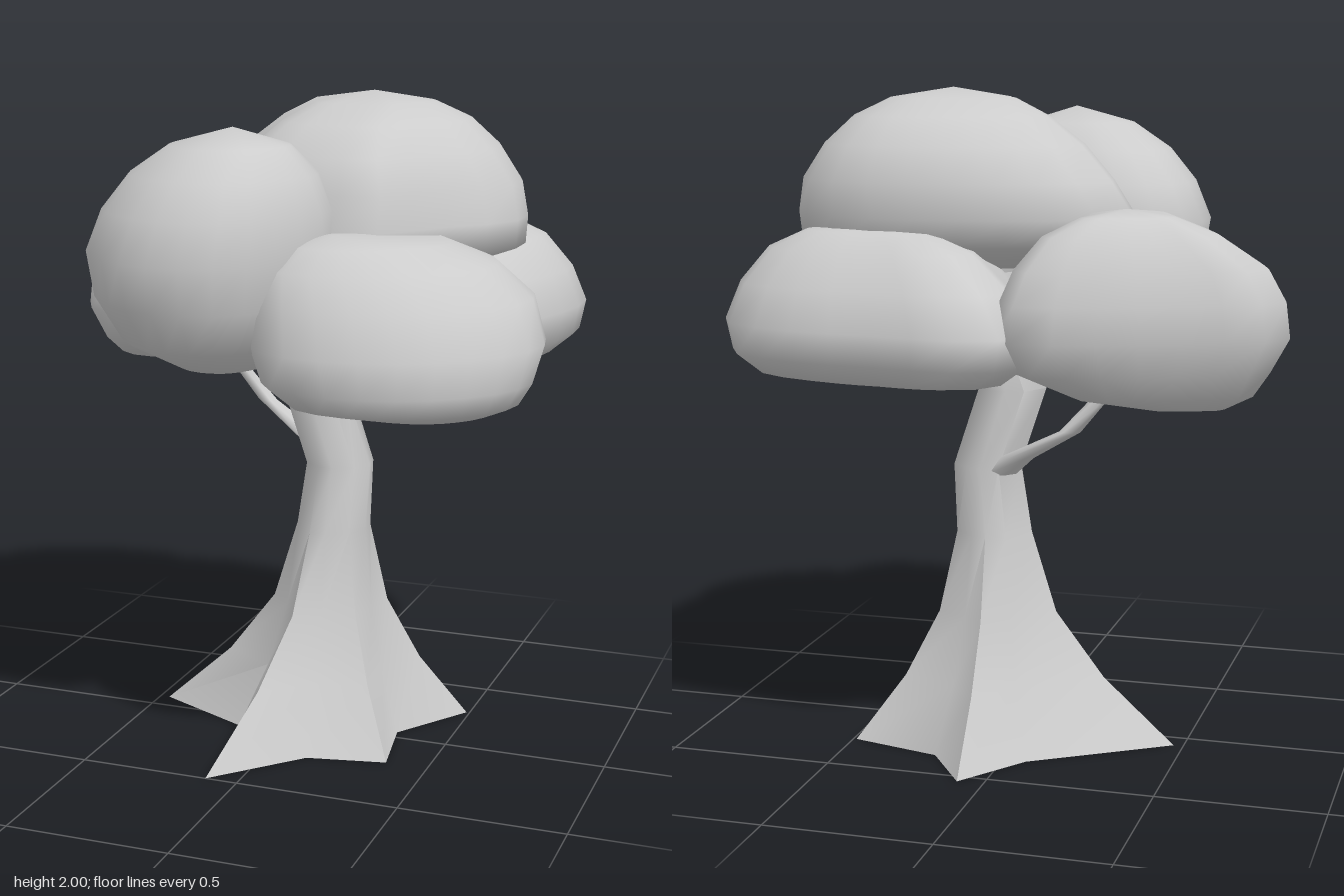
import * as THREE from 'three';
import { mergeVertices, toCreasedNormals } from 'three/addons/utils/BufferGeometryUtils.js';

const grey = new THREE.MeshStandardMaterial({ color: 0xcccccc });
grey.name = 'paleGrey';

// Skin over closed rings of [x, y, z], listed from bottom to top
function loft(rings) {
  const n = rings[0].length, index = [];
  for (let i = 0; i < rings.length - 1; i++) {
    for (let j = 0; j < n; j++) {
      const a = i * n + j, b = i * n + (j + 1) % n;
      index.push(a, a + n, b, b, a + n, b + n);
    }
  }
  const geo = new THREE.BufferGeometry();
  geo.setAttribute('position', new THREE.Float32BufferAttribute(rings.flat(2), 3));
  geo.setIndex(index);
  const merged = mergeVertices(geo, 1e-4);
  // Drop the collapsed triangles at the poles
  const ix = merged.index.array, keep = [];
  for (let i = 0; i < ix.length; i += 3) {
    const [a, b, c] = [ix[i], ix[i + 1], ix[i + 2]];
    if (a !== b && b !== c && c !== a) keep.push(a, b, c);
  }
  merged.setIndex(keep);
  merged.computeVertexNormals();
  return merged;
}

function mesh(name, geo) {
  const m = new THREE.Mesh(geo, grey);
  m.name = name;
  return m;
}

// Foliage clump: a plan outline scaled and shifted through levels [y, scale, dx, dz, z scale]
function clump(name, [cx, cz], outline, levels) {
  const angle = ([x, z]) => Math.atan2(z - cz, x - cx);
  const pts = [...outline].sort((p, q) => angle(p) - angle(q))
    .map(([x, z]) => new THREE.Vector3(x - cx, 0, z - cz));
  const plan = new THREE.CatmullRomCurve3(pts, true).getSpacedPoints(24).slice(0, 24);
  const rings = levels.map(([y, s, dx = 0, dz = 0, sz = s]) =>
    plan.map(p => [cx + dx + p.x * s, y, cz + dz + p.z * sz]));
  return mesh(name, loft(rings));
}

export function createModel() {
  const tree = new THREE.Group();
  tree.name = 'tree';

  // Trunk: a five-rooted star that shrinks into a bent round stem
  const star = [
    [0.37, 0.2], [0.13, 0.25], [-0.1, 0.5], [-0.16, 0.08], [-0.47, -0.07],
    [-0.07, -0.33], [0.08, -0.54], [0.21, -0.35], [0.49, -0.28], [0.33, -0.04],
  ];
  const cx = 0.1, cz = -0.08;
  // Levels: [y, root flare, shift in x, stem radius]
  const stem = [
    [0, 1, 0, 0.11], [0.2, 0.52, 0, 0.11], [0.4, 0.18, 0, 0.115], [0.65, 0.02, 0, 0.11],
    [0.86, 0, 0.02, 0.105], [1.1, 0, -0.06, 0.105], [1.22, 0, -0.02, 0.1], [1.45, 0, 0.03, 0.09],
  ];
  const trunkRings = stem.map(([y, f, dx, r]) => star.map(([x, z]) => {
    const a = Math.atan2(z - cz, x - cx);
    return [
      cx + dx + THREE.MathUtils.lerp(r * Math.cos(a), x - cx, f), y,
      cz + THREE.MathUtils.lerp(r * Math.sin(a), z - cz, f),
    ];
  }));
  trunkRings.unshift(star.map(() => [0.08, 0, -0.06]));
  tree.add(mesh('trunk', toCreasedNormals(loft(trunkRings), 0.75)));

  // Side branch: small rings [x, y, z, radius] climbing to the right
  const branchPath = [
    [0.07, 0.84, -0.13, 0.055], [0.0, 0.9, -0.17, 0.05], [-0.18, 1.0, -0.235, 0.032],
    [-0.25, 1.08, -0.235, 0.027], [-0.33, 1.18, -0.225, 0.022], [-0.33, 1.18, -0.225, 0],
  ];
  tree.add(mesh('branch', loft(branchPath.map(([x, y, z, r]) =>
    Array.from({ length: 6 }, (_, i) => {
      const a = i * Math.PI / 3;
      return [x + r * Math.cos(a), y, z + 0.75 * r * Math.sin(a)];
    })))));

  // Foliage
  tree.add(clump('topFoliage', [0.16, -0.1],
    [[-0.39, -0.31], [-0.25, -0.44], [0.03, -0.53], [0.35, -0.53], [0.54, -0.45], [0.67, -0.22],
      [0.67, -0.02], [0.49, 0.2], [0.4, 0.36], [0.24, 0.38], [-0.02, 0.33], [-0.17, 0.26], [-0.27, 0.02]],
    [[1.46, 0], [1.47, 0.3, 0, 0.02], [1.51, 0.7, 0.01, 0.03], [1.56, 0.97, 0.01, 0.02], [1.64, 0.99],
      [1.74, 0.91, 0.02, -0.01, 0.97], [1.84, 0.76, 0.03, -0.01, 0.88], [1.92, 0.57, 0.04, -0.02, 0.67],
      [1.97, 0.37, 0.04, -0.03], [2.0, 0, 0.04, -0.05]]));

  tree.add(clump('frontRightFoliage', [-0.1, 0.42],
    [[-0.47, 0.27], [-0.45, 0.5], [-0.35, 0.66], [-0.19, 0.77], [0.03, 0.77], [0.14, 0.68],
      [0.25, 0.46], [0.25, 0.34], [0.16, 0.16], [-0.1, 0.08], [-0.28, 0.08], [-0.42, 0.17]],
    [[1.235, 0, 0.04], [1.25, 0.35, 0.03], [1.33, 0.74, 0.01, 0.01], [1.45, 0.94],
      [1.58, 1], [1.7, 0.92, 0.02], [1.8, 0.75, 0.04], [1.88, 0.48, 0.06], [1.93, 0, 0.07]]));

  tree.add(clump('frontLeftFoliage', [0.46, 0.34],
    [[0.66, -0.03], [0.78, 0.1], [0.85, 0.28], [0.83, 0.42], [0.75, 0.55], [0.6, 0.68], [0.4, 0.74],
      [0.25, 0.73], [0.12, 0.66], [0.06, 0.48], [0.06, 0.28], [0.15, 0.1], [0.4, -0.04]],
    [[1.15, 0, 0.1], [1.155, 0.45, 0.08, 0.04], [1.19, 0.78, 0.03, 0.06, 0.73], [1.25, 0.92, 0.01, 0.05, 0.86],
      [1.35, 1, 0, 0.01, 0.97], [1.47, 0.96, -0.03, -0.03], [1.56, 0.82, -0.08, -0.03],
      [1.62, 0.55, -0.1, 0.01], [1.65, 0, -0.17, 0.14]]));

  tree.add(clump('backRightFoliage', [-0.42, -0.28],
    [[-0.85, -0.42], [-0.82, -0.5], [-0.6, -0.6], [-0.4, -0.69], [-0.09, -0.72], [-0.1, -0.45],
      [-0.06, -0.2], [-0.15, 0.05], [-0.3, 0.17], [-0.47, 0.2], [-0.6, 0.15], [-0.68, 0.02], [-0.78, -0.22]],
    [[1.11, 0, -0.2, -0.1], [1.12, 0.25, -0.14, -0.08], [1.16, 0.62, -0.06, -0.03], [1.23, 0.87], [1.33, 1],
      [1.43, 0.97], [1.52, 0.86, 0, -0.03], [1.61, 0.6, 0.02, -0.09],
      [1.66, 0.32, 0.02, -0.15], [1.68, 0, 0.02, -0.2]]));

  tree.add(clump('backLeftFoliage', [0.35, -0.35],
    [[-0.17, -0.68], [-0.02, -0.78], [0.25, -0.75], [0.5, -0.72], [0.72, -0.62], [0.79, -0.5], [0.79, -0.35],
      [0.75, -0.18], [0.66, 0.0], [0.45, 0.12], [0.2, 0.1], [0.0, -0.1], [-0.1, -0.4]],
    [[1.16, 0], [1.165, 0.5], [1.19, 0.8], [1.25, 0.96], [1.34, 1], [1.45, 0.88, 0.01],
      [1.55, 0.67, 0.02, -0.01], [1.6, 0.42, 0.02, -0.03], [1.62, 0, 0.02, -0.05]]));

  return tree;
}
